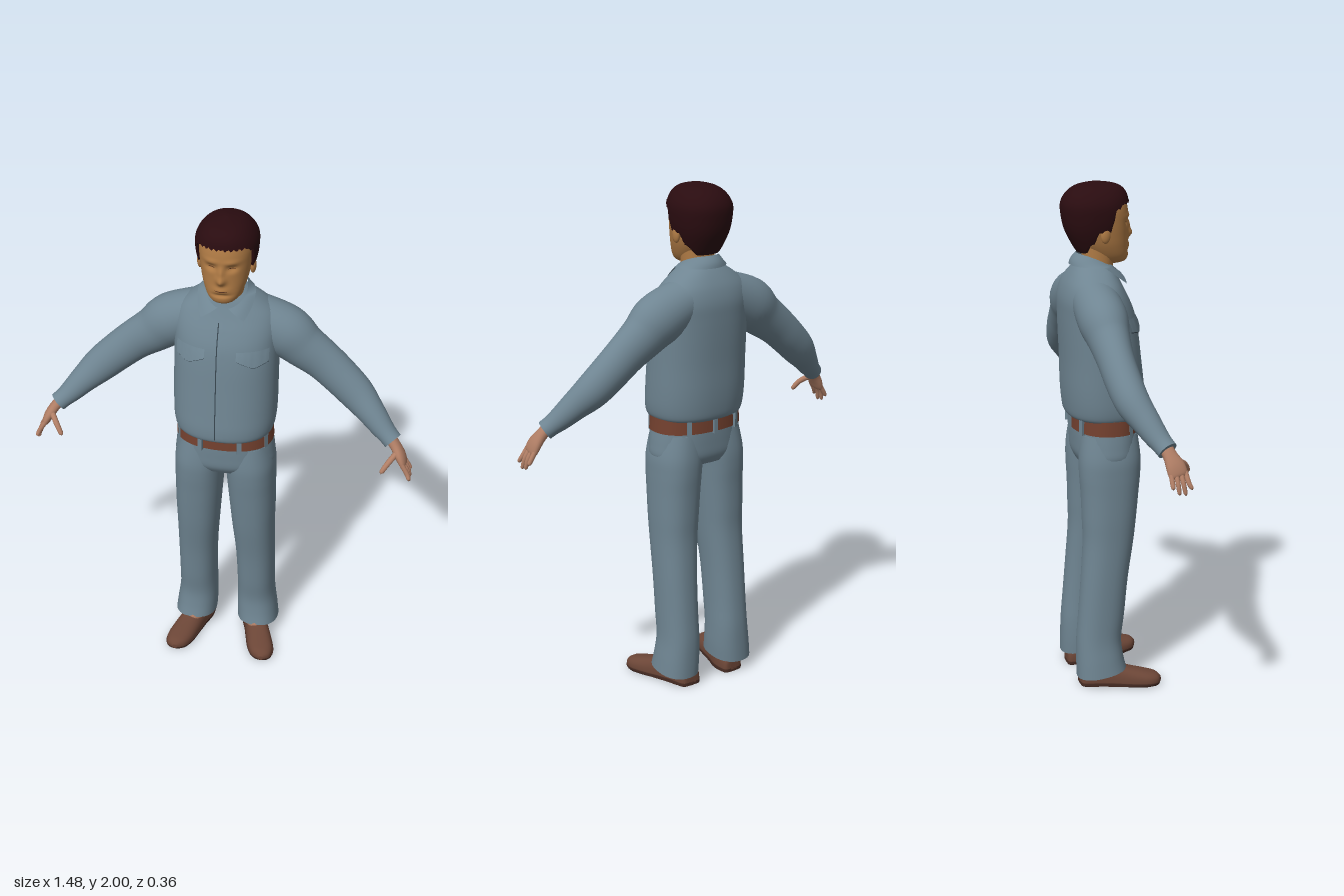
import * as THREE from 'three';
import { ParametricGeometry } from 'three/addons/geometries/ParametricGeometry.js';

const V = (x, y, z) => new THREE.Vector3(x, y, z);
const X = V(1, 0, 0), Y = V(0, 1, 0), Z = V(0, 0, 1);

// Catmull-Rom value between rows of numbers
function rowAt(rows, t) {
  const i = Math.min(Math.floor(t), rows.length - 2), f = t - i;
  const r = k => rows[Math.max(0, Math.min(rows.length - 1, k))];
  return rows[i].map((_, c) => {
    const [a, b, d, e] = [r(i - 1)[c], r(i)[c], r(i + 1)[c], r(i + 2)[c]];
    return b + 0.5 * f * (d - a + f * (2 * a - 5 * b + 4 * d - e + f * (3 * (b - d) + e - a)));
  });
}

// Skin through rounded cross-sections; row = [x, y, z, half width, half depth]
function loft(rows, { n = 32, sub = 5, dir = null, ref = Z, e = 2.2, warp = null } = {}) {
  const steps = (rows.length - 1) * sub, pos = [], idx = [], mids = [];
  for (let i = 0; i <= steps; i++) {
    const t = i / sub, [x, y, z, a, b] = rowAt(rows, t);
    const p = rowAt(rows, Math.max(0, t - 0.05)), q = rowAt(rows, Math.min(rows.length - 1, t + 0.05));
    const T = dir ? dir.clone() : V(q[0] - p[0], q[1] - p[1], q[2] - p[2]).normalize();
    const v = ref.clone().addScaledVector(T, -ref.dot(T)).normalize();
    const u = v.clone().cross(T).negate();
    mids.push(V(x, y, z));
    for (let j = 0; j < n; j++) {
      const w = j / n * Math.PI * 2, c = Math.cos(w), s = Math.sin(w);
      const P = V(x, y, z)
        .addScaledVector(u, Math.max(a, 0.0005) * Math.sign(c) * Math.abs(c) ** (2 / e))
        .addScaledVector(v, Math.max(b, 0.0005) * Math.sign(s) * Math.abs(s) ** (2 / e));
      if (warp) warp(P);
      pos.push(P.x, P.y, P.z);
    }
  }
  for (let i = 0; i < steps; i++) for (let j = 0; j < n; j++) {
    const a = i * n + j, b = i * n + (j + 1) % n;
    idx.push(a, a + n, b, b, a + n, b + n);
  }
  // end caps with their own vertices so the rims stay crisp
  for (const end of [0, steps]) {
    const m = pos.length / 3, P = mids[end].clone();
    if (warp) warp(P);
    pos.push(P.x, P.y, P.z);
    for (let j = 0; j < n; j++) pos.push(...pos.slice((end * n + j) * 3, (end * n + j) * 3 + 3));
    for (let j = 0; j < n; j++) {
      const a = m + 1 + j, b = m + 1 + (j + 1) % n;
      end ? idx.push(m, b, a) : idx.push(m, a, b);
    }
  }
  const g = new THREE.BufferGeometry();
  g.setAttribute('position', new THREE.Float32BufferAttribute(pos, 3));
  g.setIndex(idx);
  g.computeVertexNormals();
  return g;
}

// level section: height, front z, back z, half width, centre x
const lv = ([y, zf, zb, rx, x = 0]) => [x, y, (zf + zb) / 2, rx, (zf - zb) / 2];
const bump = (P, x, y, sx, sy) => Math.exp(-(((P.x - x) / sx) ** 2) - ((P.y - y) / sy) ** 2);
const ramp = (a, b, t) => THREE.MathUtils.smoothstep(t, a, b);

export function createModel() {
  const model = new THREE.Group();
  model.name = 'standingMan';
  const mat = (name, color, side = THREE.FrontSide) => {
    const m = new THREE.MeshStandardMaterial({ color, side });
    m.name = name;
    return m;
  };
  const cloth = mat('blueGreyCloth', 0x6f8592, THREE.DoubleSide), seam = mat('darkSeam', 0x36444d);
  const face = mat('faceSkin', 0xb07b45), hand = mat('handSkin', 0xb07e65), feature = mat('faceLines', 0x5a3420);
  const hairMat = mat('darkHair', 0x2a0c10), leather = mat('shoeLeather', 0x6c4637);
  const soleMat = mat('soleRubber', 0x4a2e25), beltMat = mat('beltLeather', 0x74412f);
  const add = (name, geo, m, parent = model) => {
    const mesh = new THREE.Mesh(geo, m);
    mesh.name = name;
    parent.add(mesh);
    return mesh;
  };
  // thin plate laid on the front of a mesh; lo/hi give its edges for each x
  const ray = new THREE.Raycaster();
  const patch = (name, base, m, x0, x1, lo, hi, lift, nu = 10, nv = 4) =>
    add(name, new ParametricGeometry((u, v, out) => {
      const x = x0 + (x1 - x0) * u, y = lo(u) + (hi(u) - lo(u)) * v;
      ray.set(V(x, y, 1), V(0, 0, -1));
      const hit = ray.intersectObject(base)[0];
      out.set(x, y, (hit ? hit.point.z : 0) + lift(v));
    }, nu, nv), m);

  // shirt body
  const shirt = add('shirtBody', loft([
    [1.095, .125, -.14, .17], [1.108, .147, -.157, .188], [1.15, .15, -.165, .197], [1.22, .142, -.17, .2],
    [1.32, .13, -.172, .2], [1.42, .118, -.176, .2], [1.5, .103, -.178, .2], [1.56, .08, -.177, .2],
    [1.61, .055, -.165, .183], [1.65, .037, -.145, .14], [1.685, .022, -.12, .088], [1.7, 0, -.1, .06],
  ].map(lv), { n: 48, dir: Y, e: 2.3 }), cloth);

  // button placket and pocket flaps
  patch('placket', shirt, cloth, -.013, .018, () => 1.12, () => 1.62, () => .004, 3, 40);
  patch('placketSeam', shirt, seam, -.015, -.011, () => 1.12, () => 1.6, () => .005, 1, 40);
  for (const s of [-1, 1]) {
    const tip = u => 1.468 - .03 * Math.min(1, (s > 0 ? u : 1 - u) / .55) + .012 * ramp(.55, 1, s > 0 ? u : 1 - u);
    const xs = s > 0 ? [.06, .175] : [-.175, -.06];
    patch('pocketFlap', shirt, cloth, ...xs, tip, () => 1.5, v => .001 + .008 * (1 - v));
    patch('pocketSeam', shirt, seam, ...xs, u => tip(u) - .004, tip, () => .005, 10, 1);
  }

  // collar folded around the neck, open at the front
  add('collar', new ParametricGeometry((u, v, out) => {
    const t = (u * 2 - 1) * 2.88, k = t * .8, f = (1 - Math.cos(t)) / 2;
    const top = V(.078 * Math.sin(t), 1.732 - .077 * f ** 1.5, -.03 - .083 * Math.cos(t));
    const low = V(.108 * Math.sin(k), 1.688 - .105 * Math.max(0, -Math.cos(k)), -.03 - (k * k > 2.4 ? .14 : .11) * Math.cos(k));
    out.copy(top.lerp(low, v));
    out.z -= .006 * Math.sin(v * Math.PI) * Math.cos(t);
  }, 48, 6), cloth);

  // neck and head
  add('neck', loft([[1.6, .02, -.1, .068], [1.68, .028, -.09, .064], [1.74, .04, -.09, .066], [1.79, .04, -.09, .068]]
    .map(lv), { dir: Y }), face);
  const head = add('head', loft([
    [1.686, .05, .01, .015], [1.697, .078, -.03, .046], [1.72, .088, -.06, .065], [1.76, .086, -.09, .081],
    [1.8, .085, -.11, .09], [1.85, .086, -.13, .097], [1.9, .084, -.14, .1], [1.94, .07, -.13, .092], [1.97, .03, -.1, .06],
  ].map(lv), {
    n: 96, sub: 9, dir: Y, warp: P => {
      if (P.z < .03) return;
      P.z += .021 * bump(P, 0, 1.797, .016, .018) + .012 * bump(P, 0, 1.83, .011, .024)
        + .008 * bump(P, 0, 1.755, .026, .014) - .008 * bump(P, 0, 1.734, .03, .007);
      for (const s of [-1, 1]) P.z -= .012 * bump(P, s * .038, 1.846, .02, .013) - .005 * bump(P, s * .038, 1.872, .028, .01);
    },
  }), face);
  patch('mouth', head, feature, -.026, .026, u => 1.755 - .002 * Math.sin(u * Math.PI), u => 1.755 + .002 * Math.sin(u * Math.PI), () => .002);
  for (const s of [-1, 1]) {
    const c = s * .039;
    patch('eyeLine', head, feature, c - .017, c + .017, () => 1.845, u => 1.845 + .004 * Math.sin(u * Math.PI), () => .002);
    add('ear', new THREE.SphereGeometry(1, 16, 12).scale(.012, .032, .019).translate(s * .098, 1.81, -.025), face);
  }

  // hair, cut off along a hairline that drops from brow to nape
  add('hair', loft([
    [1.73, .02, -.09, .055], [1.733, .03, -.108, .07], [1.77, .045, -.132, .088], [1.82, .07, -.156, .106],
    [1.87, .085, -.168, .115], [1.92, .087, -.17, .115], [1.96, .077, -.148, .094], [1.986, .045, -.11, .06], [2, -.03, -.05, .005],
  ].map(lv), {
    n: 120, sub: 8, dir: Y, warp: P => {
      const a = Math.atan2(Math.abs(P.x), P.z + .045) * 180 / Math.PI;
      const line = 1.925 - .02 * ramp(40, 58, a) - .085 * ramp(60, 68, a) - .045 * ramp(92, 104, a) - .04 * ramp(105, 135, a);
      P.y = Math.max(P.y, line + .005 * Math.sin(a * .7) * (a < 60 ? 1 : 0));
    },
  }), hairMat);

  // trouser seat, belt and belt loops
  add('trouserSeat', loft([[.915, .09, -.115, .17], [.95, .11, -.13, .196], [1.0, .114, -.133, .194], [1.06, .115, -.133, .186], [1.11, .11, -.13, .18]]
    .map(lv), { n: 48, dir: Y, e: 2.3 }), cloth);
  add('belt', loft([[1.048, .121, -.139, .19], [1.105, .119, -.137, .187]].map(lv), { n: 48, sub: 1, dir: Y, e: 2.3 }), beltMat);
  for (const [x, z] of [[-.075, .116], [.075, .116], [-.165, .052], [.165, .052], [-.11, -.121], [.11, -.121], [0, -.139]])
    add('beltLoop', new THREE.BoxGeometry(.018, .065, .018).rotateY(Math.atan2(x * .5, z)).translate(x, 1.075, z), cloth);

  for (const s of [-1, 1]) {
    const side = s > 0 ? 'left' : 'right';
    // trouser leg: height, inner x, outer x, front z, back z
    add(side + 'TrouserLeg', loft([
      [1.04, 0, .178, .1, -.12], [.95, 0, .197, .11, -.13], [.88, .006, .2, .108, -.13], [.8, .012, .2, .1, -.125],
      [.7, .02, .2, .09, -.122], [.6, .028, .198, .078, -.12], [.45, .04, .198, .055, -.13], [.3, .045, .198, .04, -.142],
      [.2, .045, .2, .028, -.15], [.12, .045, .21, .034, -.152], [.06, .048, .217, .045, -.152],
    ].reverse().map(([y, a, b, f, k]) => lv([y, f, k, (b - a) / 2, s * (a + b) / 2])), {
      n: 36, dir: Y, e: 2.3, warp: P => {
        const fold = .003 * Math.sin(P.y * 55 + P.x * 25 * s + P.z * 20) * ramp(.75, .4, P.y) * (P.y < .75 ? 1 : 0);
        P.x += fold;
        P.z += fold;
        P.y += (P.z + .05) * .22 * Math.max(0, 1 - P.y / .2);
      },
    }), cloth);

    // shoe, sole and ankle
    const shoe = (wide, lo, hi) => loft([
      [-.136, .105, .015, .04], [-.126, .107, .042, .072], [-.06, .115, .05, .095], [0, .135, .05, .088],
      [.06, .155, .054, .07], [.12, .172, .053, .056], [.16, .18, .038, .045], [.178, .183, .01, .028],
    ].map(([z, x, w, top]) => [s * x, .018, z, w * wide, top - .018]), {
      dir: Z, ref: Y, e: 2.4, warp: P => { P.y = Math.min(hi, Math.max(lo, P.y)); },
    });
    add(side + 'Shoe', shoe(1, .008, 1), leather);
    add(side + 'Sole', shoe(1.05, 0, .014), soleMat);
    add(side + 'Ankle', new THREE.SphereGeometry(1, 20, 14).scale(.04, .04, .05).translate(s * .132, .066, -.002), hand);

    // sleeve with a cuff
    const path = rows => rows.map(([x, ...r]) => [s * x, ...r]);
    add(side + 'Sleeve', loft(path([
      [.1, 1.565, -.068, .09, .09], [.215, 1.51, -.067, .103, .093], [.285, 1.455, -.064, .09, .078], [.36, 1.4, -.062, .08, .068],
      [.43, 1.34, -.055, .075, .066], [.5, 1.277, -.04, .069, .063], [.56, 1.222, -.01, .055, .053],
      [.605, 1.178, .015, .045, .045], [.635, 1.152, .032, .038, .04], [.657, 1.134, .044, .037, .039],
    ]), { n: 32, e: 2 }), cloth);

    // hand: palm, four fingers and a thumb
    const hg = new THREE.Group();
    hg.name = side + 'Hand';
    model.add(hg);
    add('palm', loft(path([
      [.64, 1.15, .037, .022, .026], [.668, 1.118, .05, .02, .027], [.69, 1.085, .063, .019, .036], [.704, 1.055, .07, .014, .036], [.708, 1.046, .072, .004, .028],
    ]), { n: 20 }), hand, hg);
    const digit = (name, a, b, c, r) => add(name, loft(path([
      [...a, r, r], [...b, r * .95, r * .95], [...c, r * .75, r * .75],
      [c[0] * 1.02 - b[0] * .02, c[1] * 1.1 - b[1] * .1, c[2] * 1.1 - b[2] * .1, .001, .001],
    ]), { n: 12, sub: 4, e: 2 }), hand, hg);
    [1.012, .993, .99, 1.008].forEach((y, k) => {
      const z = .043 + .018 * k;
      digit('finger', [.7, 1.065, z], [.722, 1.03, z + .002 * k], [.731, y + .003, z + .005 * k], .0095);
    });
    digit('thumb', [.674, 1.1, .078], [.648, 1.075, .112], [.628, 1.045, .13], .0115);
  }
  return model;
}
